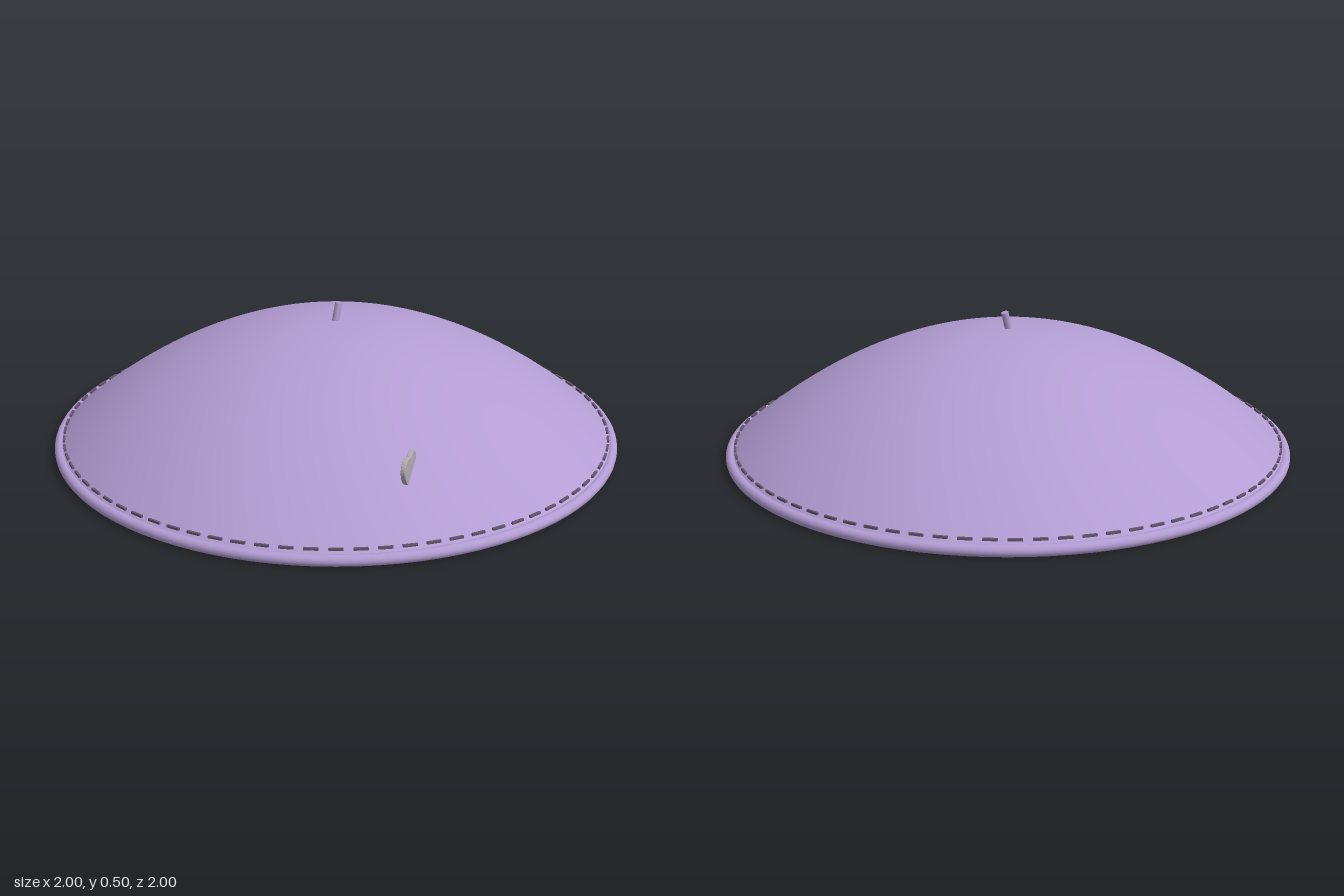
import * as THREE from 'three';

const EDGE_R = 0.985, EDGE_Y = 0.03, RISE = 0.413;
const domeY = (r) => EDGE_Y + RISE * (1 - (r / EDGE_R) ** 2);

function material(name, color, side = THREE.FrontSide) {
  const m = new THREE.MeshStandardMaterial({ color, side });
  m.name = name;
  return m;
}

export function createModel() {
  const group = new THREE.Group();
  group.name = 'beret';
  const felt = material('lilac felt', 0xb39dd3, THREE.DoubleSide);
  const thread = material('dark thread', 0x65566f);
  const metal = material('silver grey', 0xb4abb4);

  const add = (name, geometry, mat, parent = group) => {
    const mesh = new THREE.Mesh(geometry, mat);
    mesh.name = name;
    parent.add(mesh);
    return mesh;
  };

  // Hollow dome, profile from the edge up to the crown
  const profile = [];
  for (let i = 0; i <= 32; i++) {
    const r = EDGE_R * (1 - i / 32);
    profile.push(new THREE.Vector2(r, domeY(r)));
  }
  add('crown', new THREE.LatheGeometry(profile, 96), felt);

  // Rolled rim
  const rim = add('rim', new THREE.TorusGeometry(0.981, 0.019, 16, 96), felt);
  rim.rotation.x = Math.PI / 2;
  rim.position.y = 0.023;

  // Small stalk on the crown, leaning to the side
  const stalk = add('stalk', new THREE.CylinderGeometry(0.013, 0.013, 0.065, 16), felt);
  stalk.position.set(0.006, 0.471, 0);
  stalk.rotation.z = -0.25;

  // Ring of stitches just above the rim
  const stitches = new THREE.Group();
  stitches.name = 'stitches';
  group.add(stitches);
  const stitchGeometry = new THREE.BoxGeometry(0.046, 0.008, 0.008);
  const count = 80, stitchR = 0.966;
  for (let i = 0; i < count; i++) {
    const a = (i / count) * Math.PI * 2;
    const stitch = add('stitch', stitchGeometry, thread, stitches);
    stitch.position.set(Math.sin(a) * stitchR, 0.053, Math.cos(a) * stitchR);
    stitch.rotation.y = a;
  }

  // Heart-shaped pin, partly sunk into the cloth
  const heart = new THREE.Shape();
  heart.moveTo(0, 0.036);
  heart.bezierCurveTo(0.008, 0.058, 0.062, 0.064, 0.065, 0.022);
  heart.bezierCurveTo(0.065, -0.012, 0.022, -0.034, 0, -0.06);
  heart.bezierCurveTo(-0.022, -0.034, -0.065, -0.012, -0.065, 0.022);
  heart.bezierCurveTo(-0.062, 0.064, -0.008, 0.058, 0, 0.036);
  const heartGeometry = new THREE.ExtrudeGeometry(heart, {
    depth: 0.01, curveSegments: 12, bevelEnabled: true,
    bevelThickness: 0.003, bevelSize: 0.003, bevelSegments: 2,
  });
  heartGeometry.translate(0, 0, -0.005);
  const pin = add('heartPin', heartGeometry, metal);
  pin.position.set(-0.361, 0.205, 0.68);
  pin.rotation.y = 0.49;

  return group;
}
